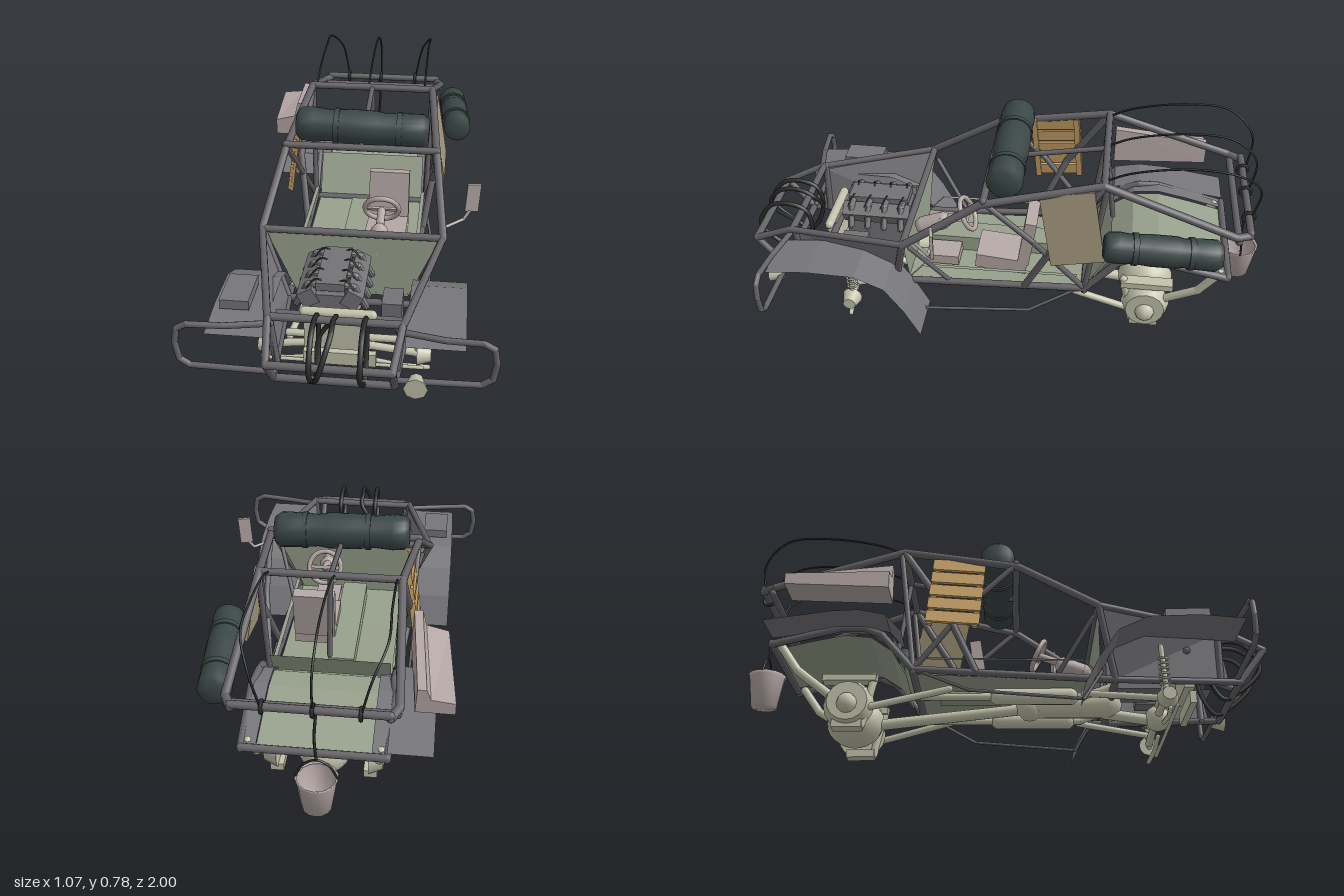
import * as THREE from 'three';
import { mergeGeometries } from 'three/addons/utils/BufferGeometryUtils.js';

const V = (p) => new THREE.Vector3(...p);
const mat = (color, flatShading = false, side = THREE.FrontSide) =>
  new THREE.MeshStandardMaterial({ color, flatShading, side });
const STEEL = mat(0x656367), CREAM = mat(0xc3c3ac), ENGINE = mat(0x737376, true), PINK = mat(0xb5a8a6);
const CANVAS = mat(0x3a4745), BLACK = mat(0x2a2d2c), WOOD = mat(0xcfa76a), TAN = mat(0xa3977a);
const PANEL = mat(0x77767a, true, THREE.DoubleSide), OLIVE = mat(0x98a18d, true, THREE.DoubleSide);
const PAIL = mat(0xb5a8a6, false, THREE.DoubleSide);

export function createModel() {
  const model = new THREE.Group();

  const add = (name, geo, material, pos = [0, 0, 0], rot = [0, 0, 0]) => {
    const mesh = new THREE.Mesh(geo, material);
    mesh.name = name;
    mesh.position.set(...pos);
    mesh.rotation.set(...rot);
    model.add(mesh);
    return mesh;
  };
  const box = (name, size, pos, material, rot) => add(name, new THREE.BoxGeometry(...size), material, pos, rot);
  const ball = (name, r, pos, material, scale = [1, 1, 1]) =>
    add(name, new THREE.SphereGeometry(r, 16, 12), material, pos).scale.set(...scale);
  const flip = (pts) => pts.map(([x, y, z]) => [-x, y, z]);

  // Straight pipe runs with rounded elbows
  const pipe = (name, pts, r = 0.013, material = STEEL, r2 = r) => {
    const parts = [];
    pts.forEach((p, i) => {
      parts.push(new THREE.SphereGeometry(r, 8, 6).translate(...p));
      if (!i) return;
      const a = V(pts[i - 1]), b = V(p), d = b.clone().sub(a);
      const q = new THREE.Quaternion().setFromUnitVectors(V([0, 1, 0]), d.clone().normalize());
      parts.push(new THREE.CylinderGeometry(r2, r, d.length(), 10).applyQuaternion(q)
        .translate(...a.add(b).multiplyScalar(0.5).toArray()));
    });
    return add(name, mergeGeometries(parts), material);
  };
  const pipes = (name, pts, r, material) => {
    pipe(name + 'Left', pts, r, material);
    pipe(name + 'Right', flip(pts), r, material);
  };
  const rope = (name, pts, r = 0.005, material = BLACK, closed = false) =>
    add(name, new THREE.TubeGeometry(new THREE.CatmullRomCurve3(pts.map(V), closed), 40, r, 6, closed), material);

  // Thin sheet lofted between two edges with equal point counts
  const sheet = (name, edgeA, edgeB, material) => {
    const pos = [], idx = [];
    edgeA.forEach((p, i) => {
      pos.push(...p, ...edgeB[i]);
      if (i) idx.push(2 * i - 2, 2 * i - 1, 2 * i, 2 * i - 1, 2 * i + 1, 2 * i);
    });
    const g = new THREE.BufferGeometry();
    g.setAttribute('position', new THREE.Float32BufferAttribute(pos, 3));
    g.setIndex(idx);
    g.computeVertexNormals();
    return add(name, g, material);
  };
  const band = (name, x0, x1, yz, material) =>
    sheet(name, yz.map(([y, z]) => [x0, y, z]), yz.map(([y, z]) => [x1, y, z]), material);

  // Side frames
  pipes('noseUpperRail', [[0.2, 0.31, 0.97], [0.22, 0.38, 0.82], [0.33, 0.435, 0.35]]);
  pipes('noseLowerRail', [[0.2, 0.31, 0.97], [0.2, 0.18, 0.87], [0.23, 0.18, 0.41]]);
  pipes('nosePost', [[0.22, 0.38, 0.8], [0.2, 0.18, 0.8]]);
  pipes('roofRail', [[0.33, 0.435, 0.35], [0.29, 0.62, 0.06], [0.25, 0.71, -0.38], [0.275, 0.545, -0.86], [0.25, 0.54, -0.91]], 0.015);
  pipes('sill', [[0.33, 0.435, 0.35], [0.23, 0.18, 0.41], [0.24, 0.22, -0.33], [0.24, 0.36, -0.45], [0.24, 0.39, -0.52],
    [0.25, 0.385, -0.6], [0.24, 0.325, -0.86]], 0.014);
  pipes('mainHoop', [[0.25, 0.71, -0.38], [0.28, 0.46, -0.22], [0.24, 0.21, -0.1]], 0.014);
  pipes('doorBrace', [[0.29, 0.62, 0.04], [0.28, 0.46, -0.13], [0.24, 0.22, -0.33]], 0.011);
  pipes('hoopPost', [[0.25, 0.7, -0.39], [0.24, 0.22, -0.33]], 0.011);
  pipes('cowlBrace', [[0.3, 0.4, 0.33], [0.23, 0.2, 0.2]], 0.009);
  pipes('bumperLoop', [[0.21, 0.36, 0.82], [0.36, 0.36, 0.85], [0.48, 0.365, 0.86], [0.515, 0.345, 0.86], [0.525, 0.29, 0.86],
    [0.515, 0.225, 0.86], [0.48, 0.2, 0.86], [0.2, 0.195, 0.86]], 0.011);
  pipes('stepRail', [[0.26, 0.2, 0.36], [0.28, 0.085, 0.29], [0.28, 0.12, -0.12], [0.24, 0.21, -0.3]], 0.006);

  // Cross members: half width, y, z
  [[0.2, 0.31, 0.97], [0.2, 0.18, 0.87], [0.22, 0.38, 0.81], [0.33, 0.435, 0.35], [0.29, 0.635, 0.05], [0.25, 0.71, -0.38],
    [0.25, 0.55, -0.91], [0.27, 0.525, -0.87], [0.24, 0.33, -0.86], [0.24, 0.21, -0.33], [0.23, 0.18, 0.41], [0.22, 0.3, 0.68]]
    .forEach(([x, y, z], i) => pipe('crossBar' + i, [[-x, y, z], [x, y, z]], 0.014));
  pipe('roofSpine', [[0, 0.635, 0.05], [0, 0.71, -0.38], [0, 0.4, -0.42]], 0.01);

  // Nose sides, firewall, cabin tub and arched rear deck
  const side = [[0.325, 0.43, 0.36], [0.215, 0.37, 0.8]], base = [[0.23, 0.18, 0.41], [0.2, 0.18, 0.83]];
  sheet('noseSideLeft', side, base, PANEL);
  sheet('noseSideRight', flip(side), flip(base), PANEL);
  sheet('firewall', [[-0.32, 0.43, 0.35], [0.32, 0.43, 0.35]], [[-0.21, 0.18, 0.36], [0.21, 0.18, 0.36]], OLIVE);
  band('cabinFloor', -0.22, 0.22, [[0.19, 0.36], [0.19, 0.1], [0.21, -0.33], [0.38, -0.42]], OLIVE);
  for (const s of [-1, 1]) band('tubSide', s * 0.22, s * 0.235, [[0.19, 0.36], [0.26, 0.3], [0.27, -0.3]], OLIVE);
  const arch = [[0.22, -0.36], [0.32, -0.42], [0.375, -0.5], [0.385, -0.6], [0.36, -0.72], [0.325, -0.86]];
  band('rearDeck', -0.19, 0.19, arch, OLIVE);
  for (const s of [-1, 1]) band('deckEdge', s * 0.19, s * 0.245, arch.map(([y, z]) => [y + 0.01, z]), PANEL);
  band('rearFender', -0.39, -0.24, [[0.3, -0.36], [0.37, -0.42], [0.39, -0.52], [0.385, -0.62], [0.35, -0.86]], PANEL);
  box('tunnel', [0.1, 0.07, 0.55], [-0.02, 0.22, 0.03], OLIVE);

  // Front fenders bending down behind the wheels
  for (const s of [-1, 1])
    band('frontFender', s * 0.23, s * 0.425, [[0.33, 0.86], [0.345, 0.7], [0.34, 0.52], [0.29, 0.41], [0.19, 0.34], [0.075, 0.28]], PANEL);
  box('fenderBox', [0.1, 0.035, 0.16], [-0.35, 0.365, 0.66], PANEL);

  // Engine, hoses and radiator
  box('engineBlock', [0.14, 0.17, 0.26], [-0.04, 0.28, 0.52], ENGINE);
  for (const s of [-1, 1]) {
    box('cylinderHead', [0.06, 0.06, 0.27], [-0.04 + s * 0.075, 0.35, 0.52], ENGINE, [0, 0, -s * 0.5]);
    for (let i = 0; i < 4; i++) {
      const z = 0.42 + i * 0.067;
      pipe('exhaustRunner', [[-0.04 + s * 0.02, 0.39, z], [-0.04 + s * 0.08, 0.385, z], [-0.04 + s * 0.12, 0.31, z]], 0.013, ENGINE);
      rope('ignitionLead', [[-0.04, 0.38, z], [-0.04 + s * 0.05, 0.41, z], [-0.04 + s * 0.09, 0.37, z + 0.02]], 0.003);
    }
  }
  box('airCleaner', [0.1, 0.03, 0.24], [-0.04, 0.39, 0.52], ENGINE);
  box('battery', [0.07, 0.1, 0.1], [0.17, 0.28, 0.58], ENGINE);
  box('radiator', [0.2, 0.13, 0.04], [-0.02, 0.26, 0.7], CREAM);
  pipe('radiatorTank', [[-0.12, 0.33, 0.7], [0.11, 0.33, 0.7]], 0.018, CREAM);
  box('steeringGuard', [0.25, 0.05, 0.025], [0, 0.155, 0.71], CREAM);
  for (const [x, w] of [[-0.06, 0], [-0.06, 0.06], [0.1, 0]])
    rope('noseStrap', [[x + w, 0.41, 0.85], [x + w, 0.4, 0.93], [x + w / 2, 0.3, 0.99], [x, 0.2, 0.9], [x, 0.17, 0.84], [x, 0.28, 0.78], [x + w, 0.38, 0.79]], 0.009, BLACK, true);

  // Front axle, steering links, hubs and coil-overs
  pipe('frontAxle', [[-0.28, 0.1, 0.59], [-0.1, 0.12, 0.59], [0.1, 0.12, 0.59], [0.28, 0.1, 0.59]], 0.015, CREAM);
  ball('frontDifferential', 0.05, [0, 0.115, 0.59], CREAM);
  pipe('trackRod', [[-0.28, 0.06, 0.62], [0.28, 0.06, 0.62]], 0.007, CREAM);
  pipe('frontCrossmember', [[-0.2, 0.155, 0.59], [0.2, 0.155, 0.59]], 0.014, CREAM);
  for (const s of [-1, 1]) {
    add('frontHub', new THREE.CylinderGeometry(0.025, 0.04, 0.05, 12), CREAM, [s * 0.285, 0.095, 0.59], [0, 0, -s * Math.PI / 2]);
    pipe('frontShock', [[s * 0.26, 0.09, 0.59], [s * 0.255, 0.3, 0.58]], 0.01, CREAM);
    for (let i = 0; i < 6; i++)
      add('springCoil', new THREE.TorusGeometry(0.018, 0.004, 6, 12), CREAM, [s * 0.257, 0.15 + i * 0.02, 0.585], [Math.PI / 2, 0.15, 0]);
    pipe('lowerArm', [[s * 0.3, 0.04, 0.59], [s * 0.2, 0.05, 0.6], [s * 0.08, 0.07, 0.6]], 0.009, CREAM);
    pipe('trailingLink', [[s * 0.2, 0.12, 0.57], [s * 0.16, 0.155, 0.3]], 0.013, CREAM);
    // Exhaust under the floor
    pipe('exhaustPipe', [[s * 0.13, 0.2, 0.42], [s * 0.13, 0.155, 0.3], [s * 0.13, 0.155, -0.3]], 0.014, CREAM);
    pipe('muffler', [[s * 0.13, 0.155, 0.25], [s * 0.13, 0.155, -0.02]], 0.032, CREAM);
    // Rear drums, spring cradles, links and struts
    add('rearDrum', new THREE.CylinderGeometry(0.075, 0.095, 0.05, 16), CREAM, [s * 0.19, 0.11, -0.57], [0, 0, -s * Math.PI / 2]);
    box('springCradle', [0.05, 0.025, 0.2], [s * 0.17, 0.21, -0.57], CREAM);
    box('skidFoot', [0.05, 0.03, 0.11], [s * 0.17, 0.03, -0.57], CREAM);
    pipe('rearShock', [[s * 0.17, 0.03, -0.52], [s * 0.17, 0.22, -0.48]], 0.016, CREAM);
    pipe('rearStrut', [[s * 0.22, 0.33, -0.83], [s * 0.21, 0.23, -0.76], [s * 0.17, 0.13, -0.62]], 0.017, CREAM);
    pipe('rearLink', [[s * 0.19, 0.08, -0.55], [s * 0.17, 0.17, -0.2]], 0.014, CREAM);
  }
  pipe('gearbox', [[-0.01, 0.17, 0.4], [-0.01, 0.16, 0.1]], 0.055, CREAM, 0.045);
  pipe('driveShaft', [[0, 0.16, 0.12], [0, 0.09, -0.5]], 0.022, CREAM);
  pipe('frontShaft', [[0, 0.11, 0.55], [0, 0.15, 0.3]], 0.022, CREAM);
  pipe('rearAxle', [[-0.21, 0.1, -0.57], [0.21, 0.1, -0.57]], 0.04, CREAM);
  ball('rearDifferential', 0.1, [0, 0.105, -0.57], CREAM, [1, 1, 1.1]);

  // Headlamp
  add('headlamp', new THREE.CylinderGeometry(0.04, 0.025, 0.05, 8), CREAM, [0.27, 0.2, 0.88], [Math.PI / 2, 0, 0]);

  // Driver seat, steering and mirror
  box('seatCushion', [0.16, 0.06, 0.2], [0.1, 0.255, 0.0], PINK, [-0.1, 0, 0]);
  box('seatBack', [0.16, 0.2, 0.045], [0.1, 0.36, -0.1], PINK, [-0.15, 0, 0]);
  box('footRest', [0.1, 0.04, 0.13], [0.09, 0.22, 0.24], PINK);
  pipe('steeringColumn', [[0.09, 0.35, 0.33], [0.09, 0.42, 0.15]], 0.016, PINK);
  pipe('steeringBox', [[0.09, 0.35, 0.32], [0.09, 0.38, 0.24]], 0.035, PINK);
  add('steeringWheel', new THREE.TorusGeometry(0.065, 0.01, 8, 20), PINK, [0.09, 0.425, 0.14], [0.45, 0, 0]);
  box('wheelSpoke', [0.12, 0.014, 0.01], [0.09, 0.425, 0.14], PINK, [0.45, 0, 0]);
  pipe('mirrorStem', [[0.33, 0.45, 0.3], [0.4, 0.45, 0.23], [0.42, 0.48, 0.22]], 0.006, PINK);
  box('mirror', [0.05, 0.11, 0.012], [0.43, 0.535, 0.215], PINK, [0, 0.2, -0.06]);

  // Side boards: solid on the left, slatted on the right
  box('sideBoard', [0.015, 0.285, 0.2], [0.29, 0.54, -0.275], TAN, [0.19, 0, 0.15]);
  const slats = new THREE.Group();
  slats.name = 'slattedBoard';
  for (let i = 0; i < 5; i++) {
    const slat = new THREE.Mesh(new THREE.BoxGeometry(0.012, 0.048, 0.2), WOOD);
    slat.position.y = -0.12 + i * 0.06;
    slats.add(slat);
  }
  for (const z of [-0.085, 0.085]) {
    const batten = new THREE.Mesh(new THREE.BoxGeometry(0.012, 0.3, 0.022), WOOD);
    batten.position.set(0.01, 0, z);
    slats.add(batten);
  }
  slats.position.set(-0.29, 0.515, -0.175);
  slats.rotation.set(0.08, 0, -0.15);
  model.add(slats);

  // Bedrolls: lumpy cylinders with straps
  const bedroll = (name, length, r, pos, rot, straps) => {
    const h = length / 2;
    const prof = [[0, -h], [r * 0.75, -h], [r, -h * 0.9], [r * 0.97, -h * 0.6], [r * 0.9, -h * 0.35], [r, -0.05],
      [r, h * 0.2], [r * 0.9, h * 0.5], [r, h * 0.75], [r * 0.95, h * 0.93], [r * 0.7, h], [0, h]];
    const roll = add(name, new THREE.LatheGeometry(prof.map((p) => new THREE.Vector2(...p)), 18), CANVAS, pos, rot);
    for (const y of straps) {
      const strap = new THREE.Mesh(new THREE.CylinderGeometry(r * 1.02, r * 1.02, 0.02, 18), CANVAS);
      strap.name = 'bedrollStrap';
      strap.position.y = y;
      roll.add(strap);
    }
  };
  bedroll('roofBedroll', 0.51, 0.068, [0, 0.688, -0.02], [0, 0, Math.PI / 2 - 0.03], [-0.14, 0.1]);
  bedroll('sideBedroll', 0.42, 0.058, [0.345, 0.515, -0.6], [Math.PI / 2 - 0.07, 0, -0.08], [-0.1, 0.1]);

  // Luggage case on the right flank, its lid falling toward the rear
  const flank = (drop, z, dx) => [[-0.45, 0.465], [-0.32, 0.465], [-0.325, 0.61 - drop], [-0.355, 0.61 - drop], [-0.37, 0.55 - drop * 0.6],
    [-0.45, 0.53 - drop * 0.4], [-0.45, 0.465]].map(([x, y]) => [x + dx, y, z]);
  const caseFront = flank(0, -0.41, 0.03), caseBack = flank(0.055, -0.78, 0);
  sheet('luggageCase', caseFront, caseBack, PAIL).material = mat(0xb5a8a6, true, THREE.DoubleSide);
  for (const ring of [caseFront, caseBack])
    sheet('luggageEnd', [ring[0], ring[5], ring[4], ring[3]], [ring[1], ring[1], ring[1], ring[2]], PAIL);

  // Hanging pail and whip ropes
  const pail = [[0, 0.16], [0.05, 0.16], [0.068, 0.28], [0.072, 0.29], [0.064, 0.285]];
  add('pail', new THREE.LatheGeometry(pail.map((p) => new THREE.Vector2(...p)), 14), PAIL, [-0.02, 0, -0.925]);
  rope('pailHandle', [[-0.09, 0.285, -0.925], [-0.06, 0.34, -0.925], [-0.02, 0.36, -0.925], [0.02, 0.34, -0.925], [0.05, 0.285, -0.925]], 0.004);
  rope('pailRope', [[-0.02, 0.55, -0.91], [-0.015, 0.45, -0.925], [-0.02, 0.36, -0.925]], 0.005);
  for (const x of [-0.16, -0.01, 0.15]) {
    const o = x * 1.45;
    rope('whipRope', [[o, 0.71, -0.38], [o, 0.75, -0.47], [o, 0.785, -0.68], [o, 0.77, -0.84], [x * 1.2, 0.69, -0.93], [x, 0.55, -0.92]], 0.004);
    add('ropeKnot', new THREE.TorusGeometry(0.02, 0.007, 6, 12), BLACK, [x, 0.55, -0.91], [0, Math.PI / 2, 0]);
  }
  return model;
}
